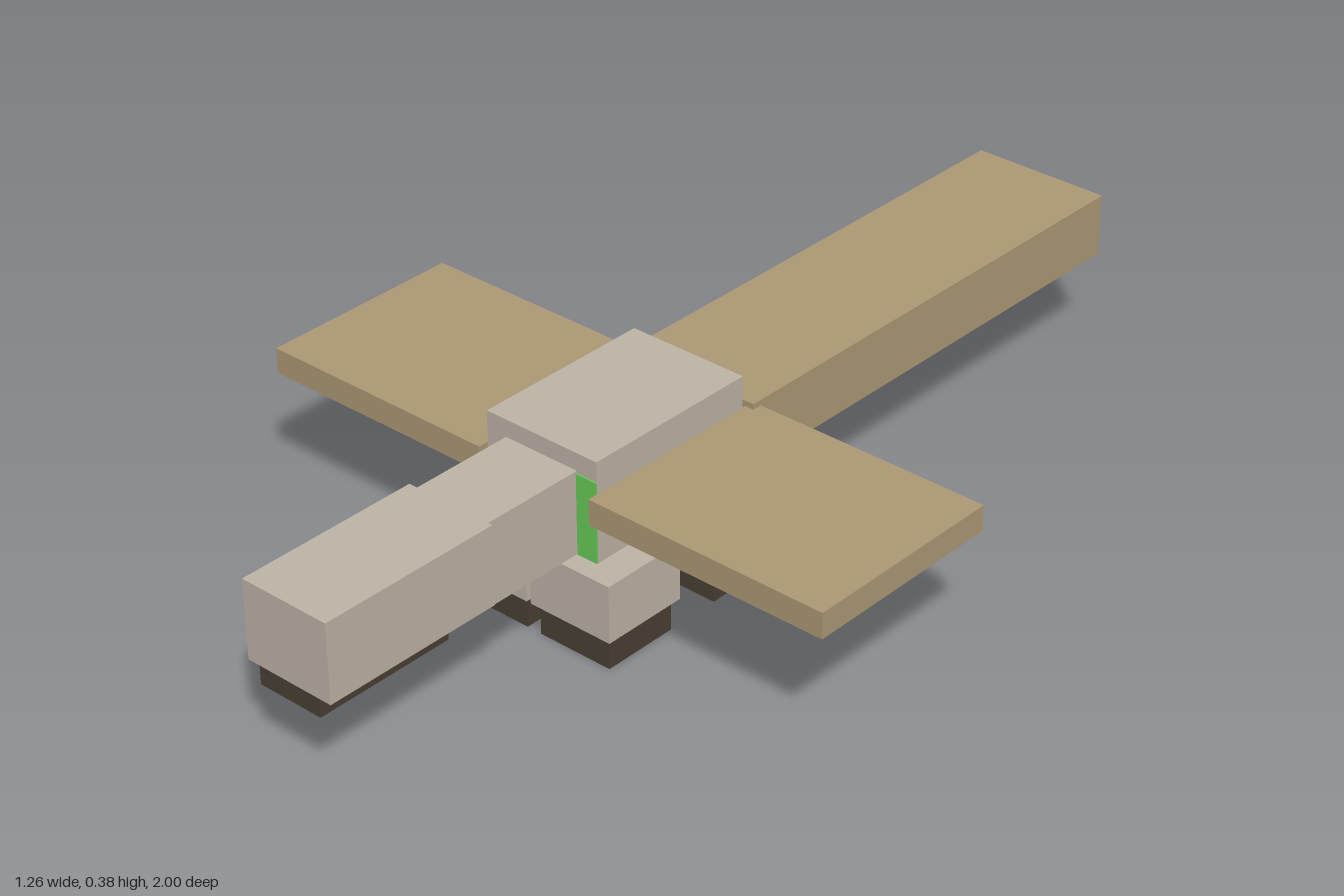
import * as THREE from 'three';

const material = (name, color) => {
  const m = new THREE.MeshStandardMaterial({ color });
  m.name = name;
  return m;
};

export function createModel() {
  const hide = material('greyHide', 0xbfb5a8);
  const tan = material('tanMembrane', 0xae9976);
  const dark = material('darkBrown', 0x4a4034);
  const green = material('greenPatch', 0x68cc58);

  const model = new THREE.Group();
  model.name = 'wingedCreature';

  // Box given by its [min, max] extent on each axis
  const box = (name, mat, x, y, z) => {
    const mesh = new THREE.Mesh(
      new THREE.BoxGeometry(x[1] - x[0], y[1] - y[0], z[1] - z[0]), mat);
    mesh.position.set((x[0] + x[1]) / 2, (y[0] + y[1]) / 2, (z[0] + z[1]) / 2);
    mesh.name = name;
    model.add(mesh);
  };

  // Body with the chest patch
  box('body', hide, [-0.13, 0.123], [0.13, 0.38], [0.035, 0.408]);
  box('chestPatch', green, [-0.09, 0.123], [0.13, 0.34], [0.408, 0.411]);

  // Neck, head and jaw
  box('neck', hide, [-0.086, 0.078], [0.18, 0.345], [0.4, 0.664]);
  box('head', hide, [-0.098, 0.093], [0.193, 0.35], [0.626, 1]);
  box('jaw', dark, [-0.072, 0.067], [0.156, 0.193], [0.711, 1]);

  // Tail
  box('tail', tan, [-0.148, 0.143], [0.203, 0.329], [-1, 0.03]);

  // Wings, legs and feet, mirrored about the body's slightly offset centre
  const centre = -0.003;
  for (const [side, s] of [['left', 1], ['right', -1]]) {
    const across = (inner, outer) =>
      [centre + s * inner, centre + s * outer].sort((a, b) => a - b);
    box(side + 'Wing', tan, across(0.127, 0.632), [0.267, 0.318], [0.01, 0.43]);
    for (const [end, z] of [['Front', 0.27], ['Back', 0]]) {
      box(side + end + 'Leg', hide, across(0.005, 0.188), [0.064, 0.179], [z, z + 0.18]);
      box(side + end + 'Foot', dark, across(0.016, 0.176), [0, 0.064], [z + 0.01, z + 0.168]);
    }
  }
  return model;
}
